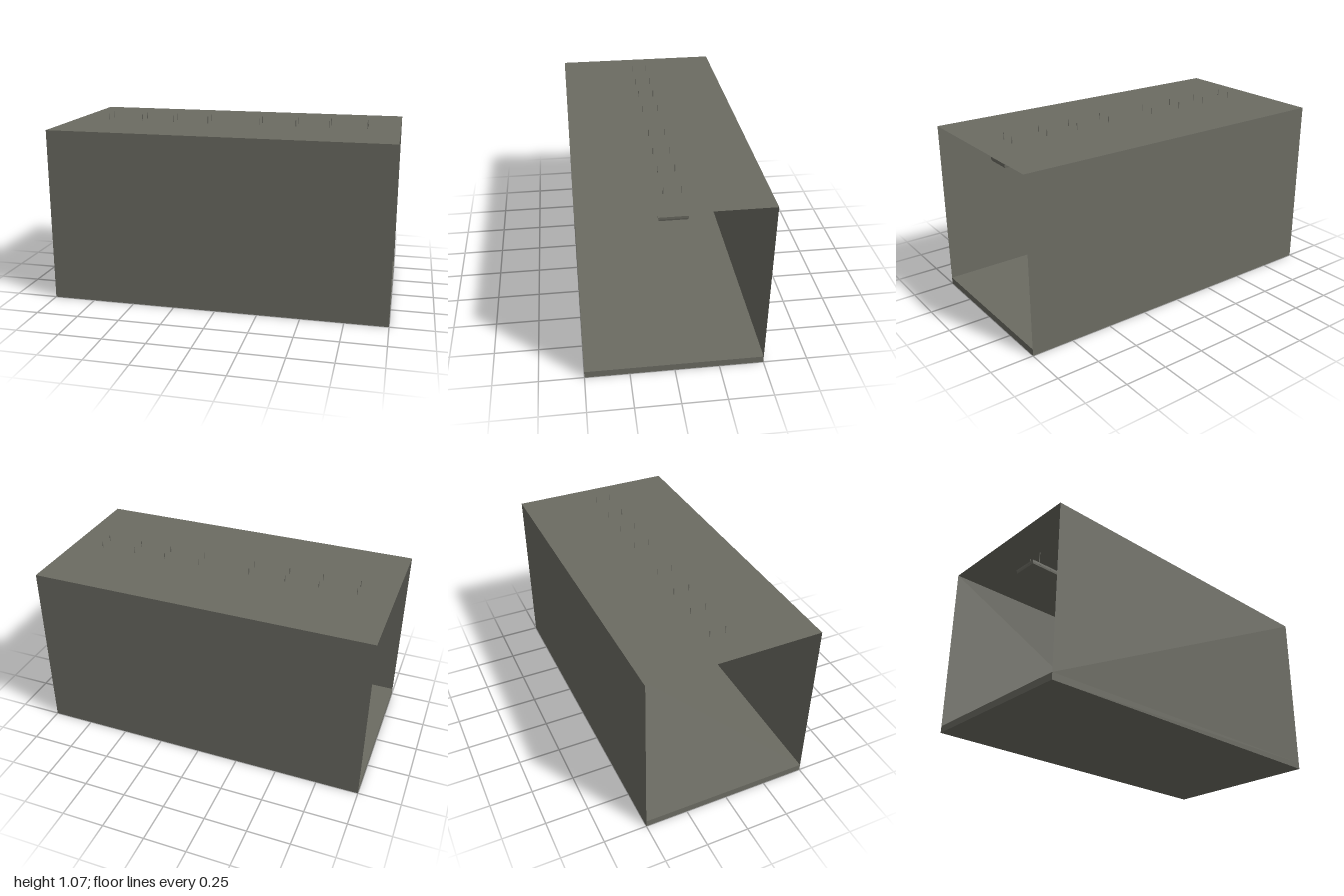
import * as THREE from 'three';

const concrete = new THREE.MeshStandardMaterial({ color: 0x6b6b62, side: THREE.DoubleSide });
concrete.name = 'warm grey';

function add(parent, name, geometry, x, y, z) {
  const mesh = new THREE.Mesh(geometry, concrete);
  mesh.name = name;
  mesh.position.set(x, y, z);
  parent.add(mesh);
  return mesh;
}

// Box whose bottom face is scaled inwards
function taperedBox(w, h, d, sx, sz) {
  const geometry = new THREE.BoxGeometry(w, h, d).toNonIndexed();
  const p = geometry.attributes.position;
  for (let i = 0; i < p.count; i++) {
    if (p.getY(i) < 0) p.setXYZ(i, p.getX(i) * sx, p.getY(i), p.getZ(i) * sz);
  }
  geometry.computeVertexNormals();
  return geometry;
}

// Hanging light: shallow housing, tapered underside and four suspension wires
function createLamp(x) {
  const lamp = new THREE.Group();
  lamp.name = 'ceilingLamp';
  lamp.position.x = x;
  add(lamp, 'lampHousing', taperedBox(0.36, 0.013, 0.158, 0.995, 0.985), 0, 0.9285, 0.003);
  add(lamp, 'lampUnderside', taperedBox(0.358, 0.01, 0.155, 0.985, 0.975), 0, 0.917, 0.003);
  for (const sx of [-1, 1]) {
    for (const sz of [-1, 1]) {
      add(lamp, 'suspensionWire', new THREE.CylinderGeometry(0.002, 0.002, 0.136, 6),
        sx * 0.11, 1.002, 0.002 + sz * 0.046);
    }
  }
  return lamp;
}

export function createModel() {
  const room = new THREE.Group();
  room.name = 'room';

  // Floor slab
  add(room, 'floor', new THREE.BoxGeometry(2, 0.04, 1), 0, 0.02, 0);

  // Thin long walls, open at both ends
  for (const side of [-1, 1]) {
    const wall = add(room, side > 0 ? 'frontWall' : 'backWall',
      new THREE.PlaneGeometry(2, 0.99), 0, 0.535, side * 0.5);
    if (side < 0) wall.rotation.y = Math.PI;
  }

  // Thin ceiling
  add(room, 'ceiling', new THREE.PlaneGeometry(2, 1), 0, 1.03, 0).rotation.x = -Math.PI / 2;

  // Row of lamps along the middle
  for (const x of [-0.68, -0.26, 0.28, 0.7]) room.add(createLamp(x));

  return room;
}
